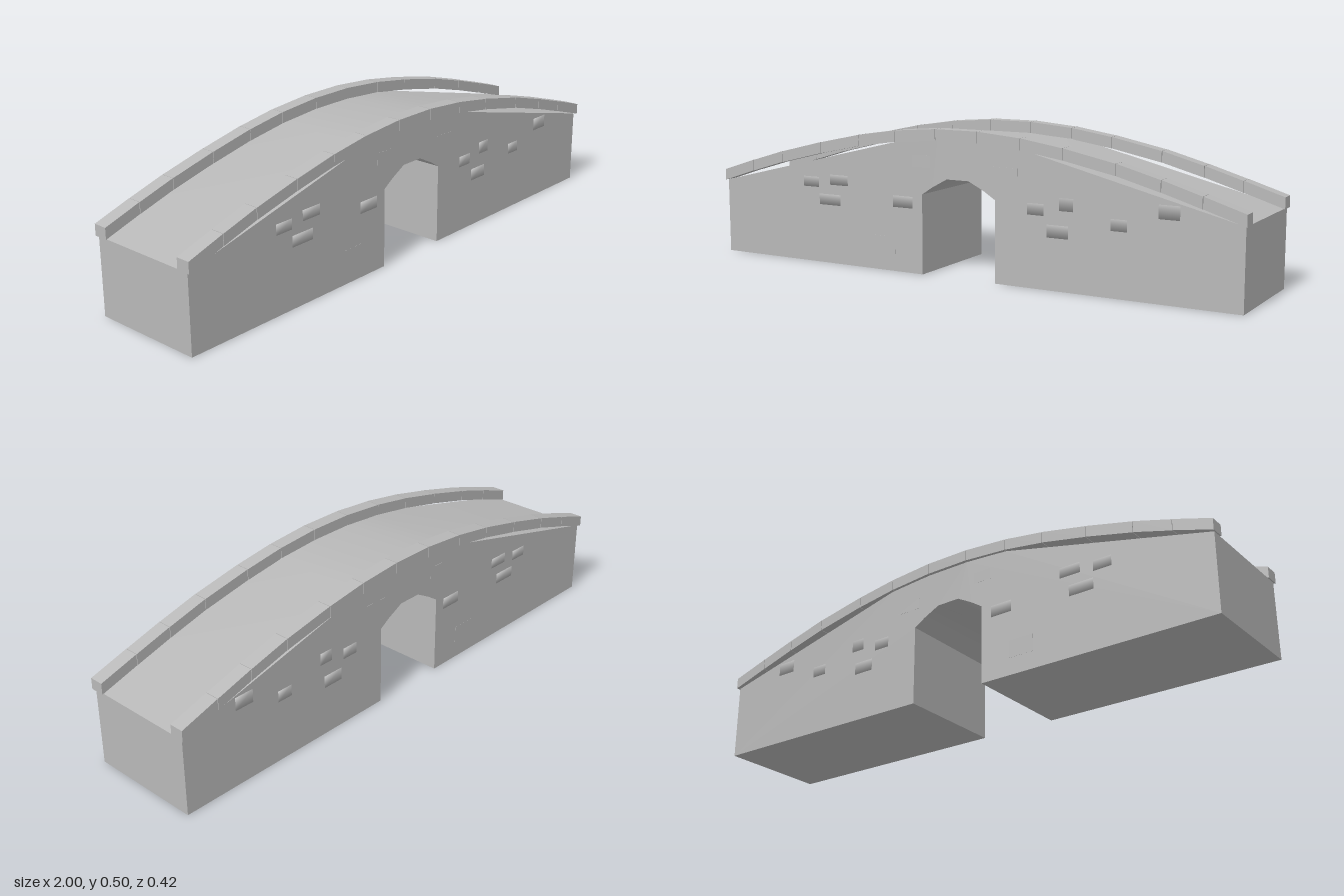
import * as THREE from 'three';
import { mergeVertices, toCreasedNormals } from 'three/addons/utils/BufferGeometryUtils.js';

const stone = new THREE.MeshStandardMaterial({ color: 0xb8b8b8 });
stone.name = 'grey stone';

// Extrude an outline in x/y, centred on z = 0
function slab(points, depth) {
  const shape = new THREE.Shape(points.map(([x, y]) => new THREE.Vector2(x, y)));
  const geo = new THREE.ExtrudeGeometry(shape, { depth, bevelEnabled: false });
  return geo.translate(0, 0, -depth / 2);
}

function add(parent, name, geo) {
  const mesh = new THREE.Mesh(geo, stone);
  mesh.name = name;
  parent.add(mesh);
  return mesh;
}

// Brick running through the wall, softly shaded at its corners
function brickGeometry(w, h) {
  const geo = new THREE.BoxGeometry(w, h, 0.404);
  geo.deleteAttribute('normal');
  geo.deleteAttribute('uv');
  const soft = mergeVertices(geo);
  soft.computeVertexNormals();
  return soft;
}

export function createModel() {
  const bridge = new THREE.Group();
  bridge.name = 'stoneBridge';

  // Body: piers, arched opening and sloping deck in one outline
  const outline = [
    [-0.995, 0], [-0.143, 0], [-0.143, 0.277], [-0.1, 0.305], [-0.045, 0.335],
    [0.04, 0.335], [0.1, 0.305], [0.14, 0.28], [0.14, 0], [0.993, 0],
    [0.993, 0.268], [0.24, 0.452], [0.08, 0.463], [-0.08, 0.463], [-0.24, 0.452], [-0.995, 0.268],
  ];
  add(bridge, 'bridgeBody', toCreasedNormals(slab(outline, 0.402), 0.6));

  // Parapets: coping stones along a curve on both sides
  const joints = [
    [-1, 0.307], [-0.865, 0.35], [-0.73, 0.39], [-0.56, 0.432], [-0.395, 0.467],
    [-0.245, 0.49], [-0.083, 0.503], [0.078, 0.503], [0.238, 0.49], [0.39, 0.467],
    [0.575, 0.43], [0.725, 0.39], [0.86, 0.35], [1, 0.307],
  ];
  for (const side of [1, -1]) {
    const parapet = new THREE.Group();
    parapet.name = side > 0 ? 'frontParapet' : 'backParapet';
    parapet.position.z = side * 0.187;
    for (let i = 0; i < joints.length - 1; i++) {
      const [x0, y0] = joints[i];
      const [x1, y1] = joints[i + 1];
      const g = 0.001; // narrow joint between stones
      add(parapet, 'copingStone', slab([
        [x0 + g, y0 - 0.039], [x1 - g, y1 - 0.039], [x1 - g, y1], [x0 + g, y0],
      ], 0.05));
    }
    bridge.add(parapet);
  }

  // Scattered bricks showing on both faces: x, y, width, height
  const bricks = [
    [-0.61, 0.288, 0.066, 0.036], [-0.49, 0.3, 0.076, 0.036], [-0.53, 0.228, 0.09, 0.038],
    [-0.222, 0.245, 0.08, 0.04], [0.29, 0.262, 0.06, 0.038], [0.4, 0.285, 0.05, 0.042],
    [0.37, 0.195, 0.076, 0.042], [0.583, 0.235, 0.056, 0.038], [0.75, 0.29, 0.07, 0.045],
  ];
  for (const [x, y, w, h] of bricks) {
    add(bridge, 'wallBrick', brickGeometry(w, h)).position.set(x, y, 0);
  }

  // Nearly flush bricks
  for (const [x, y, w, h] of [[-0.3, 0.09, 0.09, 0.06], [0.175, 0.37, 0.1, 0.04], [-0.145, 0.39, 0.07, 0.04]]) {
    add(bridge, 'flushBrick', new THREE.BoxGeometry(w, h, 0.403)).position.set(x, y, 0);
  }
  return bridge;
}
